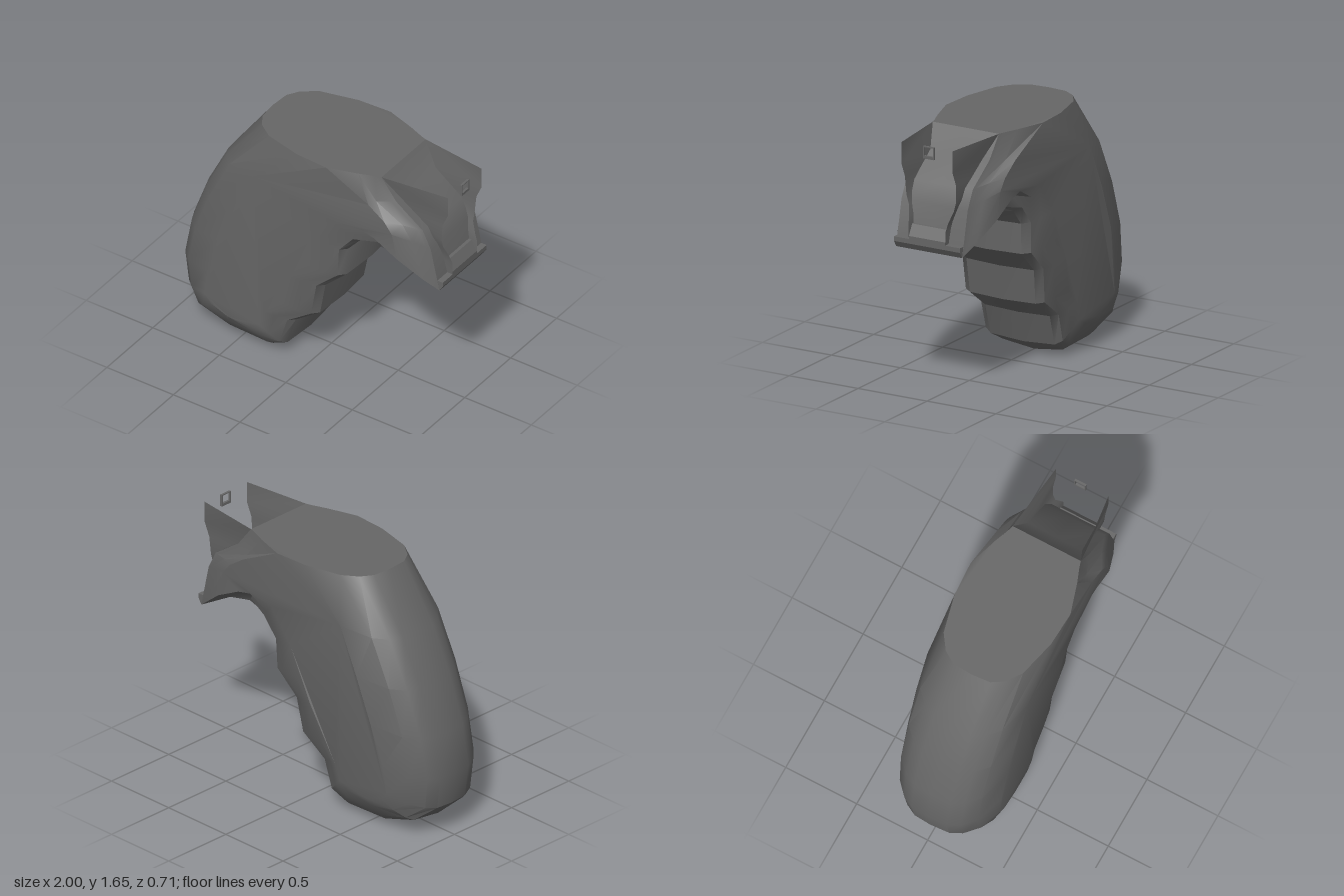
import * as THREE from 'three';
import { toCreasedNormals } from 'three/addons/utils/BufferGeometryUtils.js';

const polymer = new THREE.MeshStandardMaterial({ color: 0x666666 });
polymer.name = 'dark grey polymer';
polymer.side = THREE.DoubleSide;

// Centre outline, clockwise from the front: x, y, kind
// (capBack / capFront = ends of the flat top, guard, finger grooves, base, strap)
const outline = [
  [-0.44, 1.65, 'capBack'], [0.54, 1.65, 'capFront'],
  [0.65, 1.51, 'guard'], [0.85, 1.37, 'guard'], [0.91, 1.25, 'guard'], [0.975, 0.96, 'guard'],
  [0.72, 1.11, 'guard'], [0.55, 1.15, 'guard'], [0.4, 1.1, 'finger'], [0.31, 1.0, 'finger'],
  [0.3, 0.8, 'finger'], [0.14, 0.65, 'finger'], [0.1, 0.42, 'finger'], [-0.08, 0.29, 'finger'],
  [-0.15, 0.08, 'finger'], [-0.27, 0, 'base'], [-0.6, 0.01, 'base'], [-0.86, 0.1, 'base'],
  [-0.97, 0.21, 'strap'], [-1, 0.43, 'strap'], [-0.95, 0.7, 'strap'],
  [-0.84, 1.0, 'strap'], [-0.69, 1.3, 'strap'],
];
// Inward distance and half-width of each ring; the last distance is a fraction
const rings = {
  guard: [[0, 0.24], [0.03, 0.25], [0.12, 0.285], [0.4, 0.34]],
  finger: [[0.015, 0.25], [0.05, 0.3], [0.13, 0.33], [0.5, 0.354]],
  base: [[0.025, 0.23], [0.06, 0.275], [0.14, 0.325], [0.5, 0.357]],
  strap: [[0.008, 0.13], [0.045, 0.21], [0.125, 0.29], [0.5, 0.354]],
};
// Half of the flat top, as x and half-width
const cap = {
  capBack: [[-0.43, 0.13], [-0.38, 0.21], [-0.28, 0.28], [-0.03, 0.34]],
  capFront: [[0.54, 0.24], [0.5, 0.252], [0.4, 0.29], [0.2, 0.352]],
};

// Point inside the grip toward which an outline point is drawn
function spineAt(x, y, kind) {
  if (kind === 'guard') return [x > 0.9 ? 0.35 : 0.3, 1.45];
  if (x > 0.35) return [0.1, 1.42];
  const h = THREE.MathUtils.clamp(y + 0.1, 0.38, 1.4);
  return [-0.47 + (h - 0.35) * 0.43, h];
}

function ringPoint([x, y, kind], k) {
  if (k < 0) return [x, y, 0];
  if (cap[kind]) return [cap[kind][k][0], y, cap[kind][k][1]];
  const [d, w] = rings[kind][k];
  const [sx, sy] = spineAt(x, y, kind);
  const t = k === 3 ? d : d / Math.hypot(sx - x, sy - y);
  return [x + (sx - x) * t, y + (sy - y) * t, w];
}

// Grip shell: rings run from the left side over the rim to the right side,
// which is a little slimmer toward the base
function gripGeometry() {
  const n = outline.length;
  const pos = [], index = [];
  const rows = [[3, 1], [2, 1], [1, 1], [0, 1], [-1, 1], [0, -1], [1, -1], [2, -1], [3, -1]];
  for (const [k, side] of rows) {
    for (const p of outline) {
      const [x, y, z] = ringPoint(p, k);
      const slim = 0.86 + 0.14 * THREE.MathUtils.smoothstep(y, 0.1, 0.96);
      pos.push(x, y, side > 0 ? z : -z * slim);
    }
  }
  for (let r = 0; r < rows.length - 1; r++) {
    for (let i = 0; i < n; i++) {
      const j = (i + 1) % n;
      const a = (r + 1) * n + i, b = r * n + i, c = r * n + j, d = (r + 1) * n + j;
      index.push(a, b, c, a, c, d);
    }
  }
  // Flat side panels
  const flat = outline.map((p) => new THREE.Vector2(...ringPoint(p, 3).slice(0, 2)));
  const last = (rows.length - 1) * n;
  for (const [a, b, c] of THREE.ShapeUtils.triangulateShape(flat, [])) {
    const ccw = THREE.ShapeUtils.area([flat[a], flat[b], flat[c]]) > 0;
    const [p, q] = ccw ? [b, c] : [c, b];
    index.push(a, p, q, last + a, last + q, last + p);
  }
  const g = new THREE.BufferGeometry();
  g.setAttribute('position', new THREE.Float32BufferAttribute(pos, 3));
  g.setIndex(index);
  return toCreasedNormals(g, 0.55);
}

// Thin cheek beside the front recess: y, back x, front x, back z, front z
const cheekRows = [
  [1.65, 0.54, 1, 0.24, 0.185], [1.51, 0.645, 1, 0.19, 0.185], [1.42, 0.77, 0.96, 0.187, 0.185],
  [1.3, 0.88, 0.95, 0.18, 0.18], [1.24, 0.905, 0.95, 0.163, 0.163], [1.17, 0.925, 0.98, 0.142, 0.142],
  [1.12, 0.935, 1, 0.135, 0.135], [1.03, 0.95, 1, 0.132, 0.132],
];
function cheekGeometry(side) {
  const pos = [], index = [];
  cheekRows.forEach(([y, x0, x1, z0, z1], i) => {
    pos.push(x0, y, z0 * side, x1, y, z1 * side);
    if (i === 0) return;
    const a = 2 * i - 2, b = a + 1, c = a + 2, d = a + 3;
    if (side > 0) index.push(a, c, d, a, d, b);
    else index.push(a, d, c, a, b, d);
  });
  const g = new THREE.BufferGeometry();
  g.setAttribute('position', new THREE.Float32BufferAttribute(pos, 3));
  g.setIndex(index);
  return toCreasedNormals(g, 0.5);
}

const shapeOf = (points) => new THREE.Shape(points.map(([x, y]) => new THREE.Vector2(x, y)));

// Bar with a side profile, centred across the model
function bar(points, width) {
  return new THREE.ExtrudeGeometry(shapeOf(points), { depth: width, bevelEnabled: false })
    .translate(0, 0, -width / 2);
}

export function createModel() {
  const model = new THREE.Group();
  model.name = 'pistolGrip';
  const add = (name, geometry) => {
    const mesh = new THREE.Mesh(geometry, polymer);
    mesh.name = name;
    model.add(mesh);
  };

  add('gripBody', gripGeometry());
  add('leftCheek', cheekGeometry(1));
  add('rightCheek', cheekGeometry(-1));

  // Sill and lip closing the recess at the bottom
  add('recessSill', bar([[0.93, 1.12], [0.95, 1.03], [1, 1.03], [1, 1.05], [0.96, 1.12]], 0.264));
  add('recessLip', bar([[0.958, 1.03], [0.975, 0.96], [1, 1], [1, 1.03]], 0.478));

  // Small square latch frame at the front
  const frame = shapeOf([[-0.03, 1.57], [0.05, 1.57], [0.05, 1.65], [-0.03, 1.65]]);
  frame.holes.push(shapeOf([[-0.022, 1.588], [-0.022, 1.644], [0.042, 1.644], [0.042, 1.588]]));
  add('latchFrame', new THREE.ExtrudeGeometry(frame, { depth: 0.015, bevelEnabled: false })
    .rotateY(Math.PI / 2).translate(0.985, 0, 0));

  return model;
}
